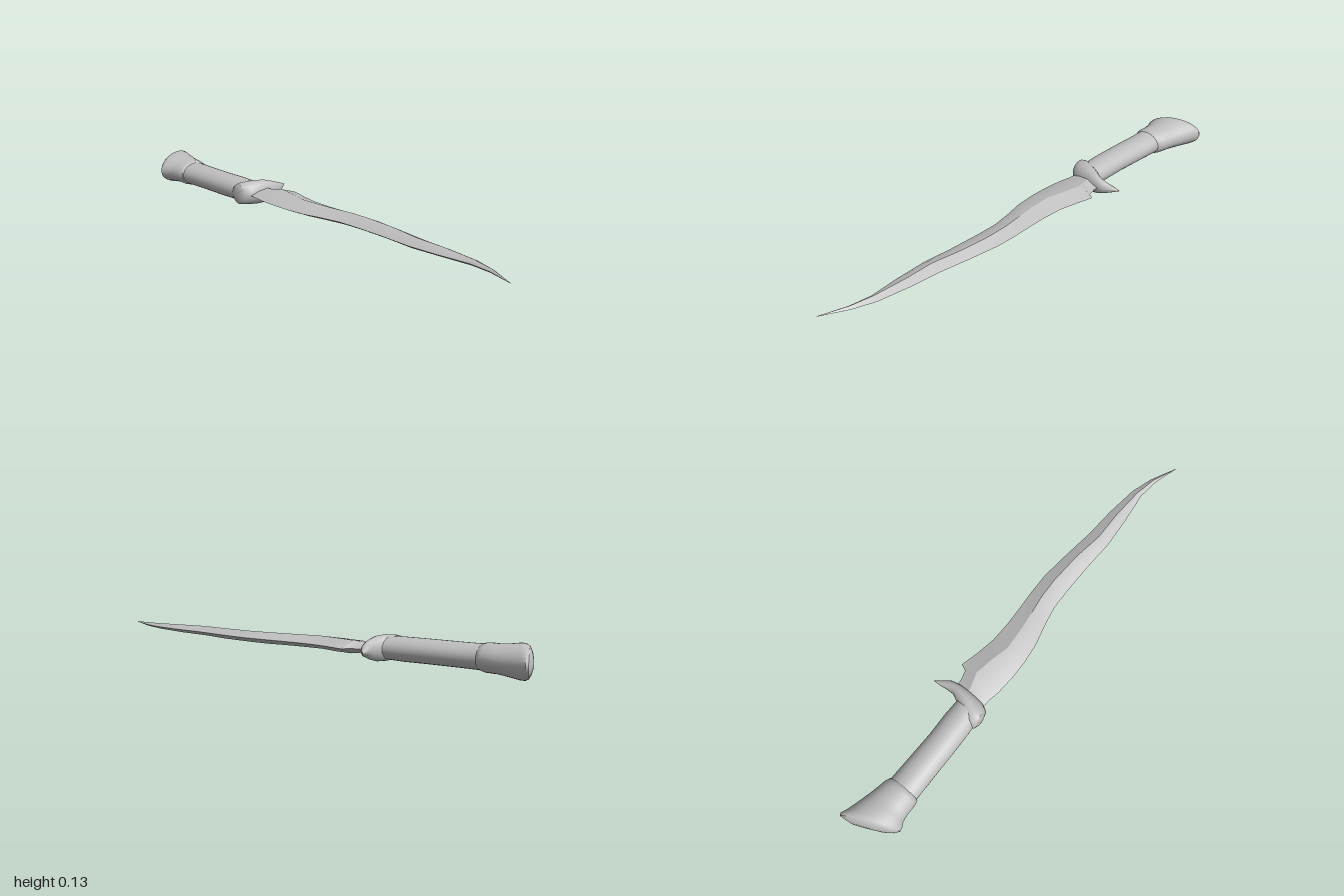
import * as THREE from 'three';
import { toCreasedNormals } from 'three/addons/utils/BufferGeometryUtils.js';

const MID = 0.067; // height of the dagger's symmetry plane

// Skin a list of equal-sized rings and close both ends with a fan.
function loft(rings, crease) {
  const n = rings[0].length, pos = [], idx = [];
  rings.forEach(r => r.forEach(p => pos.push(p[0], p[1] + MID, p[2])));
  for (let i = 0; i < rings.length - 1; i++) {
    for (let j = 0; j < n; j++) {
      const k = (j + 1) % n, a = i * n + j, b = i * n + k;
      idx.push(a, b, a + n, b, b + n, a + n);
    }
  }
  const last = (rings.length - 1) * n;
  for (let j = 1; j < n - 1; j++) {
    idx.push(0, j + 1, j);
    idx.push(last, last + j, last + j + 1);
  }
  const geo = new THREE.BufferGeometry();
  geo.setAttribute('position', new THREE.Float32BufferAttribute(pos, 3));
  geo.setIndex(idx);
  return toCreasedNormals(geo, crease);
}

// Oval ring spanning points A and B in the x-z plane, with half-height h.
function oval([ax, az, bx, bz, h], sides) {
  return Array.from({ length: sides }, (_, j) => {
    const t = (j / sides) * Math.PI * 2, c = Math.cos(t) / 2;
    return [(ax + bx) / 2 + (bx - ax) * c, h * Math.sin(t), (az + bz) / 2 + (bz - az) * c];
  });
}

export function createModel() {
  const group = new THREE.Group();
  const steel = new THREE.MeshStandardMaterial({ color: 0xbfbfbf });
  steel.name = 'pale grey';
  const add = (name, geo) => {
    const mesh = new THREE.Mesh(geo, steel);
    mesh.name = name;
    group.add(mesh);
  };

  // Wavy blade: z, spine x, ridge x, cutting edge x, half thickness
  const blade = [
    [-0.36, -0.085, -0.01, 0.05, 0.018],
    [-0.30, -0.09, 0.0, 0.052, 0.02],
    [-0.262, -0.098, 0.01, 0.062, 0.025],
    [-0.248, -0.1, 0.015, 0.088, 0.026],
    [-0.17, -0.106, 0.0, 0.068, 0.027],
    [-0.09, -0.106, -0.02, 0.052, 0.026],
    [0.0, -0.097, -0.016, 0.048, 0.025],
    [0.08, -0.078, -0.008, 0.05, 0.024],
    [0.17, -0.062, 0.003, 0.054, 0.024],
    [0.26, -0.061, 0.005, 0.054, 0.023],
    [0.40, -0.065, -0.005, 0.037, 0.022],
    [0.53, -0.074, -0.026, 0.018, 0.02],
    [0.66, -0.068, -0.026, 0.008, 0.017],
    [0.80, -0.055, -0.036, -0.012, 0.012],
    [0.89, -0.066, -0.055, -0.042, 0.008],
    [1.0, -0.101, -0.1, -0.099, 0.001],
  ].map(([z, l, m, r, h]) => {
    const s = l + (m - l) * 0.45, t = h * 0.68;
    return [[r, 0, z], [m, h, z], [s, t, z], [l, 0, z], [s, -t, z], [m, -h, z]];
  });
  add('blade', loft(blade, 0.45));

  // Guard: rounded collar on one side, drawn out to a thorn on the other
  const guard = [
    [-0.115, -0.37, -0.115, -0.41, 0.03],
    [-0.108, -0.345, -0.108, -0.428, 0.043],
    [-0.08, -0.328, -0.08, -0.437, 0.048],
    [-0.04, -0.322, -0.04, -0.412, 0.052],
    [0.0, -0.32, 0.0, -0.388, 0.05],
    [0.04, -0.32, 0.04, -0.366, 0.038],
    [0.075, -0.326, 0.075, -0.366, 0.025],
    [0.105, -0.345, 0.105, -0.37, 0.013],
    [0.134, -0.367, 0.134, -0.369, 0.001],
  ].map(s => oval(s, 16));
  add('guard', loft(guard, 0.9));

  // Grip: plain oval bar
  const grip = [
    [-0.108, -0.79, 0.022, -0.79, 0.049],
    [-0.108, -0.7, 0.018, -0.7, 0.048],
    [-0.109, -0.55, 0.012, -0.55, 0.048],
    [-0.108, -0.45, 0.014, -0.45, 0.048],
    [-0.1, -0.36, 0.01, -0.36, 0.044],
  ].map(s => oval(s, 24));
  add('grip', loft(grip, 0.7));

  // Pommel: flaring sleeve ending in a slanted, domed cap
  const pommel = [
    [-0.045, -0.968, 0.03, -0.997, 0.015],
    [-0.09, -0.947, 0.065, -1.0, 0.04],
    [-0.122, -0.925, 0.086, -1.0, 0.057],
    [-0.135, -0.908, 0.09, -0.99, 0.064],
    [-0.132, -0.893, 0.078, -0.965, 0.066],
    [-0.121, -0.872, 0.06, -0.905, 0.06],
    [-0.117, -0.84, 0.045, -0.85, 0.055],
    [-0.117, -0.795, 0.033, -0.795, 0.055],
    [-0.112, -0.778, 0.024, -0.775, 0.051],
    [-0.1, -0.772, 0.012, -0.768, 0.044],
  ].map(s => oval(s, 24));
  add('pommel', loft(pommel, 0.8));

  return group;
}
